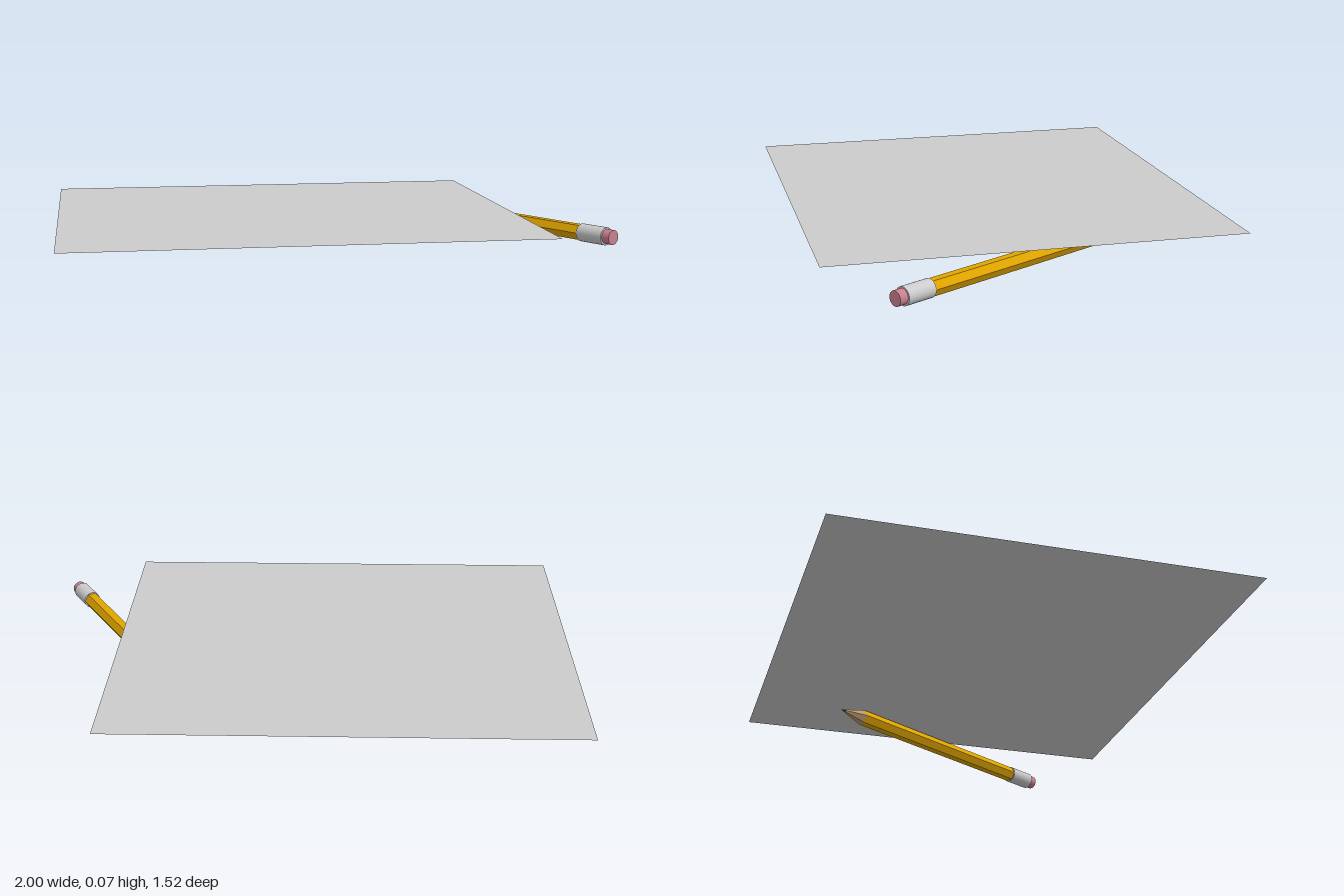
import * as THREE from 'three';

const LENGTH = 1.147; // pencil, tip to eraser end
const AXIS_Y = 0.033; // height of the pencil axis

// Cylinder section along local z, from z0 (radius r0) to z1 (radius r1)
function section(name, color, z0, z1, r0, r1, sides) {
  const geometry = new THREE.CylinderGeometry(r1, r0, z1 - z0, sides);
  geometry.rotateY(Math.PI / 6); // flats of the hexagon on top and bottom
  geometry.rotateX(Math.PI / 2);
  geometry.translate(0, 0, (z0 + z1) / 2);
  const material = new THREE.MeshStandardMaterial({ color, flatShading: sides === 6 });
  const mesh = new THREE.Mesh(geometry, material);
  mesh.name = name;
  return mesh;
}

function createPencil() {
  const pencil = new THREE.Group();
  pencil.name = 'pencil';
  const hexR = 0.031;
  const coneEnd = 0.113;
  const leadEnd = 0.022;
  const leadR = hexR * leadEnd / coneEnd;
  const ferruleStart = LENGTH - 0.147;
  const ferruleEnd = LENGTH - 0.032;

  pencil.add(
    section('lead', 0x5a5048, 0, leadEnd, 0, leadR, 6),
    section('sharpenedWood', 0xc09a72, leadEnd, coneEnd, leadR, hexR, 6),
    section('body', 0xe0a500, coneEnd, ferruleStart, hexR, hexR, 6),
    section('ferrule', 0xcccccc, ferruleStart, ferruleEnd, AXIS_Y, AXIS_Y, 24),
    section('eraser', 0xc9808f, ferruleEnd - 0.01, LENGTH, 0.027, 0.027, 24),
  );

  // Tip under the sheet, eraser pointing to the front left
  pencil.position.set(0.403, AXIS_Y, -0.433);
  pencil.rotation.y = Math.PI / 6;
  return pencil;
}

export function createModel() {
  const model = new THREE.Group();
  model.name = 'paperAndPencil';

  // Thin sheet lying over the pencil
  const geometry = new THREE.PlaneGeometry(1.72, 1.525);
  geometry.rotateX(-Math.PI / 2);
  const paper = new THREE.Mesh(
    geometry,
    new THREE.MeshStandardMaterial({ color: 0xcccccc, side: THREE.DoubleSide }),
  );
  paper.name = 'paper';
  paper.position.set(-0.14, 0.07, 0);

  model.add(paper, createPencil());
  return model;
}
